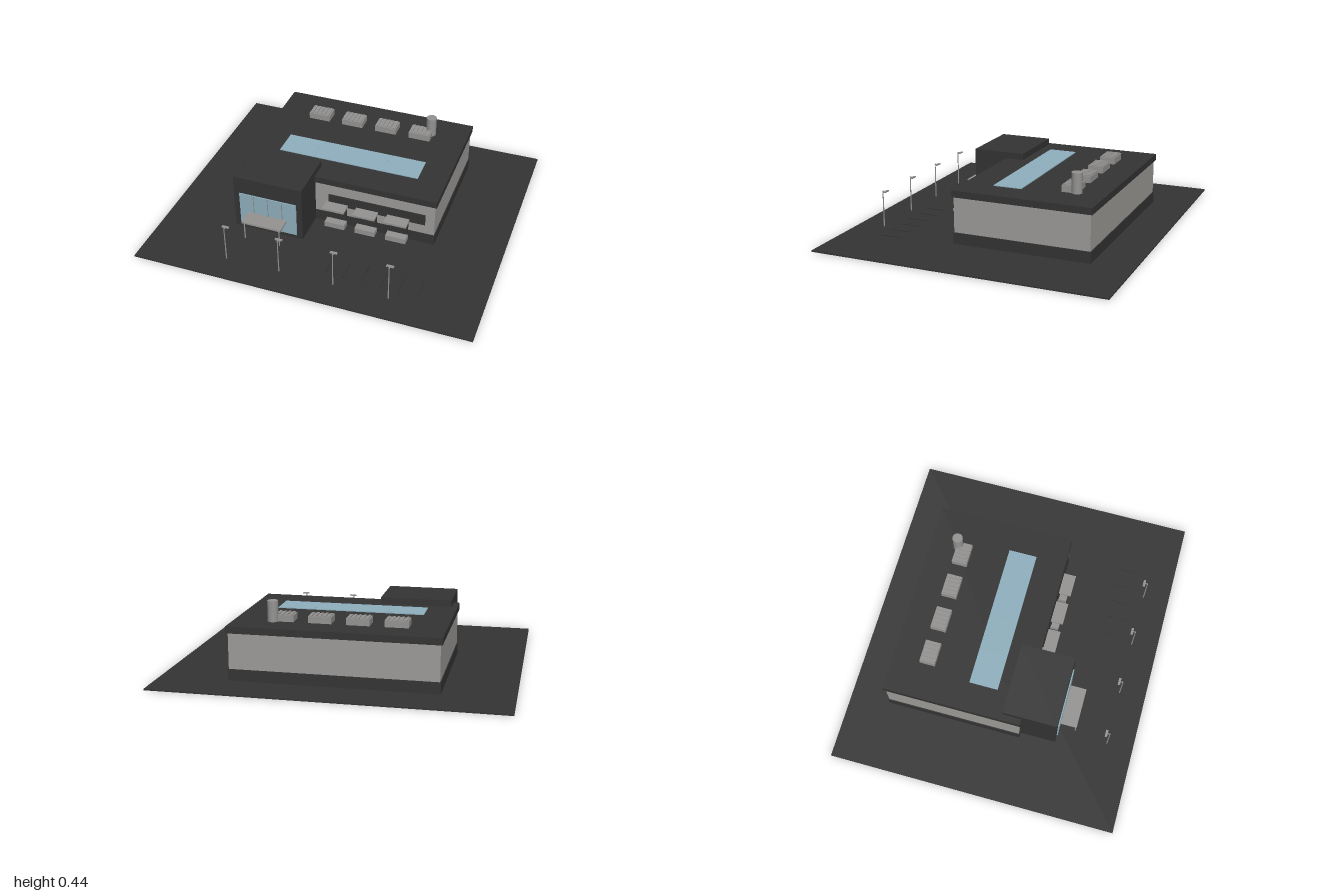
import * as THREE from 'three';

const mat = (name, color) => {
  const m = new THREE.MeshStandardMaterial({ color });
  m.name = name;
  return m;
};

export function createModel() {
  const dark = mat('charcoal', 0x343434);
  const wall = mat('wall grey', 0x9e9c99);
  const metal = mat('metal grey', 0x959493);
  const glass = mat('pale blue glass', 0x8fb0be);

  const model = new THREE.Group();
  model.name = 'commercialBuilding';

  const add = (name, geometry, material, x, y, z, parent = model) => {
    const mesh = new THREE.Mesh(geometry, material);
    mesh.name = name;
    mesh.position.set(x, y, z);
    parent.add(mesh);
    return mesh;
  };
  // box given by its limits on each axis
  const box = (name, material, [x0, x1], [y0, y1], [z0, z1], parent) =>
    add(name, new THREE.BoxGeometry(x1 - x0, y1 - y0, z1 - z0), material,
      (x0 + x1) / 2, (y0 + y1) / 2, (z0 + z1) / 2, parent);
  const group = (name) => {
    const g = new THREE.Group();
    g.name = name;
    model.add(g);
    return g;
  };

  // Site and main hall
  box('ground', dark, [-1, 1], [0, 0.008], [-0.862, 0.862]);
  box('plinth', dark, [-0.597, 0.597], [0.008, 0.075], [-0.625, 0.19]);
  box('walls', wall, [-0.592, 0.592], [0.075, 0.282], [-0.62, 0.186]);
  box('roof', dark, [-0.602, 0.602], [0.282, 0.322], [-0.63, 0.195]);

  // Roof skylight in four panes
  const skylight = group('skylight');
  for (let i = 0; i < 4; i++) {
    const x = -0.434 + i * 0.217;
    box('skylightPane', glass, [x, x + 0.2165], [0.322, 0.327], [-0.155, 0.015], skylight);
  }

  // Rooftop ventilation units with slatted tops
  for (let i = 0; i < 4; i++) {
    const unit = group('ventilationUnit');
    const x = -0.328 + i * 0.2175;
    box('unitBody', metal, [x - 0.067, x + 0.067], [0.322, 0.36], [-0.467, -0.375], unit);
    for (let j = 0; j < 5; j++) {
      const sx = x - 0.052 + j * 0.026;
      box('unitSlat', metal, [sx - 0.007, sx + 0.007], [0.36, 0.366], [-0.462, -0.38], unit);
    }
  }
  add('chimney', new THREE.CylinderGeometry(0.031, 0.031, 0.12, 20), metal, 0.377, 0.381, -0.461);

  // Entrance block with glazed front
  box('entranceBlock', dark, [-0.566, -0.14], [0.008, 0.361], [0.08, 0.403]);
  const glazing = group('entranceGlazing');
  for (let i = 0; i < 4; i++) {
    const x = -0.53 + i * 0.089;
    box('glassPane', glass, [x, x + 0.0885], [0.035, 0.253], [0.403, 0.41], glazing);
    if (i) box('mullion', metal, [x - 0.002, x + 0.002], [0.035, 0.253], [0.409, 0.413], glazing);
  }

  // Entrance canopy on two posts
  const canopy = group('entranceCanopy');
  box('canopyRoof', metal, [-0.478, -0.235], [0.117, 0.128], [0.403, 0.508], canopy);
  for (const x of [-0.464, -0.246]) {
    add('canopyPost', new THREE.CylinderGeometry(0.004, 0.004, 0.11, 10), metal, x, 0.063, 0.502, canopy);
  }

  // Window band and loading bays
  box('windowBand', dark, [-0.056, 0.537], [0.14, 0.21], [0.186, 0.193]);
  for (const x of [-0.002, 0.186, 0.377]) {
    const bay = group('loadingBay');
    box('bayDoor', dark, [x - 0.06, x + 0.06], [0.03, 0.141], [0.186, 0.195], bay);
    box('bayAwning', metal, [x - 0.068, x + 0.068], [0.147, 0.159], [0.188, 0.268], bay);
    box('bayStep', metal, [x - 0.062, x + 0.062], [0.008, 0.042], [0.19, 0.243], bay);
  }

  // Parking bay markings
  for (let i = 0; i < 6; i++) {
    const x = 0.085 + i * 0.109;
    box('parkingLine', dark, [x - 0.003, x + 0.003], [0.008, 0.013], [0.51, 0.635]);
  }

  // Street lamps, heads reaching toward the building
  for (const x of [-0.49, -0.165, 0.16, 0.484]) {
    const lamp = group('streetLamp');
    add('lampPole', new THREE.CylinderGeometry(0.003, 0.004, 0.215, 8), metal, x, 0.1155, 0.704, lamp);
    box('lampHead', metal, [x - 0.021, x + 0.021], [0.22, 0.227], [0.677, 0.691], lamp);
    box('lampArm', metal, [x - 0.003, x + 0.003], [0.221, 0.226], [0.688, 0.706], lamp);
  }

  return model;
}
